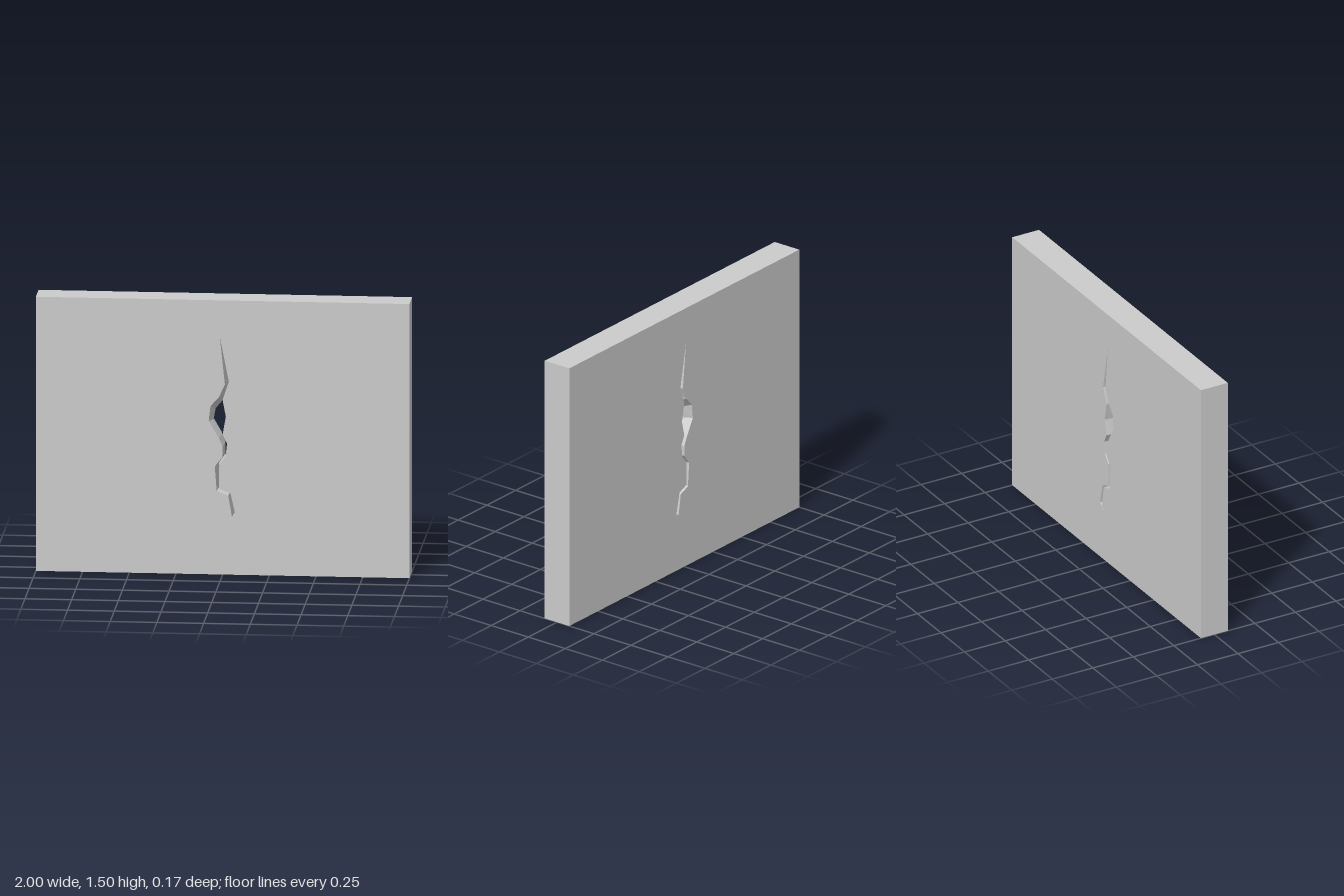
import * as THREE from 'three';

const WIDTH = 2, HEIGHT = 1.5, HALF = 0.083;

// Crack stations from top to bottom: outer left, outer right, inner left, inner right
const STATIONS = [
  [[0.012, 1.04], [0.036, 1.04], [0.025, 1.04], [0.026, 1.04]],
  [[-0.02, 0.97], [0.0, 0.955], [-0.003, 0.94], [-0.002, 0.94]],
  [[-0.065, 0.92], [0.01, 0.9], [-0.045, 0.89], [0.003, 0.9]],
  [[-0.075, 0.84], [0.02, 0.85], [-0.055, 0.83], [0.01, 0.85]],
  [[-0.02, 0.745], [0.0, 0.765], [-0.01, 0.752], [-0.005, 0.76]],
  [[0.0, 0.7], [0.025, 0.715], [0.006, 0.705], [0.018, 0.712]],
  [[0.0, 0.645], [0.018, 0.645], [0.008, 0.645], [0.01, 0.645]],
  [[-0.042, 0.59], [-0.018, 0.6], [-0.028, 0.592], [-0.027, 0.593]],
  [[-0.032, 0.457], [-0.02, 0.47], [-0.025, 0.463], [-0.024, 0.464]],
  [[0.03, 0.432], [0.042, 0.445], [0.035, 0.439], [0.036, 0.44]],
  [[0.05, 0.315], [0.068, 0.33], [0.058, 0.323], [0.059, 0.324]],
];

// Closed loop: down the left side, up the right side
function loop(left, right, top, bottom) {
  return [
    top,
    ...STATIONS.map((s) => s[left]),
    bottom,
    ...STATIONS.map((s) => s[right]).reverse(),
  ];
}

const outer = loop(0, 1, [-0.015, 1.3], [0.005, 0.268]);
const inner = loop(2, 3, [-0.013, 1.285], [0.012, 0.278]);

// Large wall face pierced by the crack outline
function faceGeometry(mirror) {
  const w = WIDTH / 2;
  const shape = new THREE.Shape([[-w, 0], [w, 0], [w, HEIGHT], [-w, HEIGHT]].map((p) => new THREE.Vector2(...p)));
  shape.holes.push(new THREE.Path(outer.map(([x, y]) => new THREE.Vector2(x * mirror, y))));
  return new THREE.ShapeGeometry(shape).translate(0, 0, HALF);
}

// Crack sides: narrow from both faces to a pinched middle outline
function crackGeometry() {
  const rings = [[outer, HALF], [inner, 0], [outer, -HALF]];
  const positions = [];
  for (let r = 0; r < 2; r++) {
    const [front, zf] = rings[r];
    const [back, zb] = rings[r + 1];
    for (let i = 0; i < front.length; i++) {
      const j = (i + 1) % front.length;
      const a = [...front[i], zf], b = [...front[j], zf];
      const c = [...back[j], zb], d = [...back[i], zb];
      positions.push(...a, ...b, ...c, ...a, ...c, ...d);
    }
  }
  const geometry = new THREE.BufferGeometry();
  geometry.setAttribute('position', new THREE.Float32BufferAttribute(positions, 3));
  geometry.computeVertexNormals();
  return geometry;
}

export function createModel() {
  const group = new THREE.Group();
  group.name = 'crackedWall';
  const material = new THREE.MeshStandardMaterial({ color: 0xcccccc, flatShading: true, side: THREE.DoubleSide });
  const add = (name, geometry) => {
    const mesh = new THREE.Mesh(geometry, material);
    mesh.name = name;
    group.add(mesh);
  };

  add('frontFace', faceGeometry(1));
  add('backFace', faceGeometry(-1).rotateY(Math.PI));

  // Top and ends; the underside is open
  add('topEdge', new THREE.PlaneGeometry(WIDTH, HALF * 2).rotateX(-Math.PI / 2).translate(0, HEIGHT, 0));
  for (const [name, side] of [['leftEnd', 1], ['rightEnd', -1]]) {
    add(name, new THREE.PlaneGeometry(HALF * 2, HEIGHT)
      .rotateY(side * Math.PI / 2)
      .translate(side * WIDTH / 2, HEIGHT / 2, 0));
  }

  add('crackSides', crackGeometry());
  return group;
}
